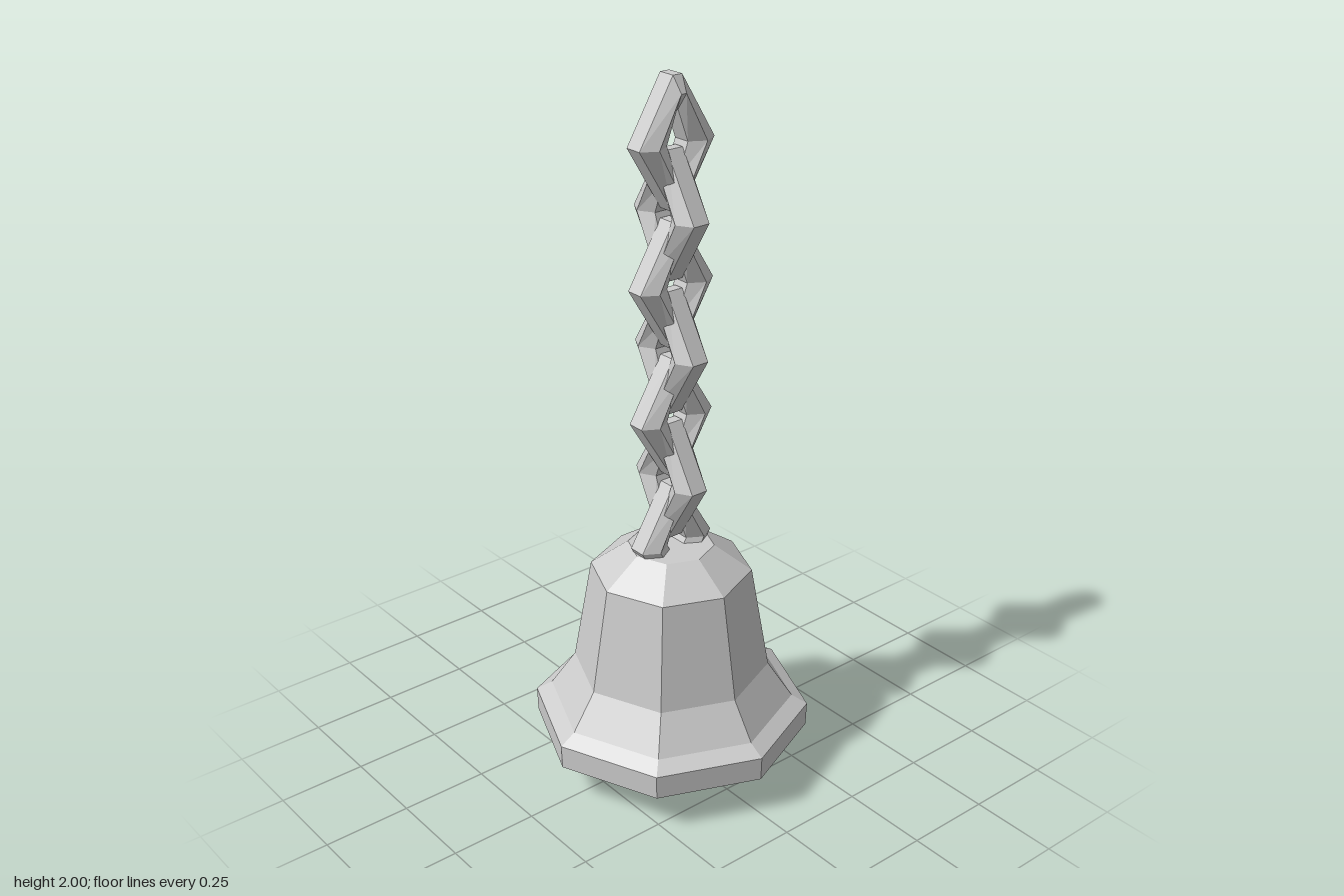
import * as THREE from 'three';

const metal = new THREE.MeshStandardMaterial({ color: 0xcccccc, flatShading: true });

const TUBE = 0.05, SIDES = 6;

// Sweep a hexagon through stations [centreX, centreY, outwardX, outwardY], listed counter-clockwise
function sweep(stations, closed) {
  const pos = [], index = [], n = stations.length;
  for (const [x, y, ux, uy] of stations) {
    for (let j = 0; j < SIDES; j++) {
      const a = ((j + 0.5) / SIDES) * Math.PI * 2;
      const r = Math.cos(a) * TUBE;
      pos.push(x + ux * r, y + uy * r, Math.sin(a) * TUBE);
    }
  }
  for (let i = 0; i < (closed ? n : n - 1); i++) {
    for (let j = 0; j < SIDES; j++) {
      const k = (j + 1) % SIDES, m = (i + 1) % n;
      const a = i * SIDES + j, b = m * SIDES + j, c = m * SIDES + k, d = i * SIDES + k;
      index.push(a, b, d, b, c, d);
    }
  }
  const geo = new THREE.BufferGeometry();
  geo.setAttribute('position', new THREE.Float32BufferAttribute(pos, 3));
  geo.setIndex(index);
  geo.computeVertexNormals();
  return geo;
}

function add(parent, name, geo) {
  const mesh = new THREE.Mesh(geo, metal);
  mesh.name = name;
  parent.add(mesh);
  return mesh;
}

export function createModel() {
  const model = new THREE.Group();
  model.name = 'bellOnChain';

  // Hollow octagonal bell: inner wall downwards, rim, then outer wall upwards
  const profile = [
    [0, 0.63], [0.1, 0.63], [0.19, 0.58], [0.235, 0.31], [0.315, 0.115],
    [0.39, 0.115], [0.392, 0.185], [0.347, 0.212], [0.277, 0.315],
    [0.225, 0.617], [0.12, 0.69], [0, 0.69],
  ].map(([x, y]) => new THREE.Vector2(x, y));
  add(model, 'bell', new THREE.LatheGeometry(profile, 8));

  // Diamond-shaped clapper
  const clapper = new THREE.OctahedronGeometry(1);
  clapper.rotateY(Math.PI / 4);
  clapper.scale(0.164, 0.157, 0.164);
  clapper.translate(0, 0.157, 0);
  add(model, 'clapper', clapper);

  // Diamond links, each turned a quarter from the one above
  const right = [0.077, 0, 1, 0], left = [-0.077, 0, -1, 0];
  const top = [[0.008, 0.13, 0.15, 1], [-0.008, 0.13, -0.15, 1]];
  const bottom = [[-0.008, -0.13, -0.15, -1], [0.008, -0.13, 0.15, -1]];
  const fullLink = sweep([right, ...top, left, ...bottom], true);
  // The lowest link sinks into the crown of the bell
  const halfLink = sweep([[0.045, -0.055, 1, 0], right, ...top, left, [-0.045, -0.055, -1, 0]], false);

  const chain = new THREE.Group();
  chain.name = 'chain';
  model.add(chain);
  const COUNT = 7;
  for (let i = 0; i < COUNT; i++) {
    const last = i === COUNT - 1;
    const link = add(chain, last ? 'anchorLink' : 'chainLink', last ? halfLink : fullLink);
    link.position.y = 1.827 - i * 0.187;
    link.rotation.y = (i % 2) * Math.PI / 2;
  }
  return model;
}
